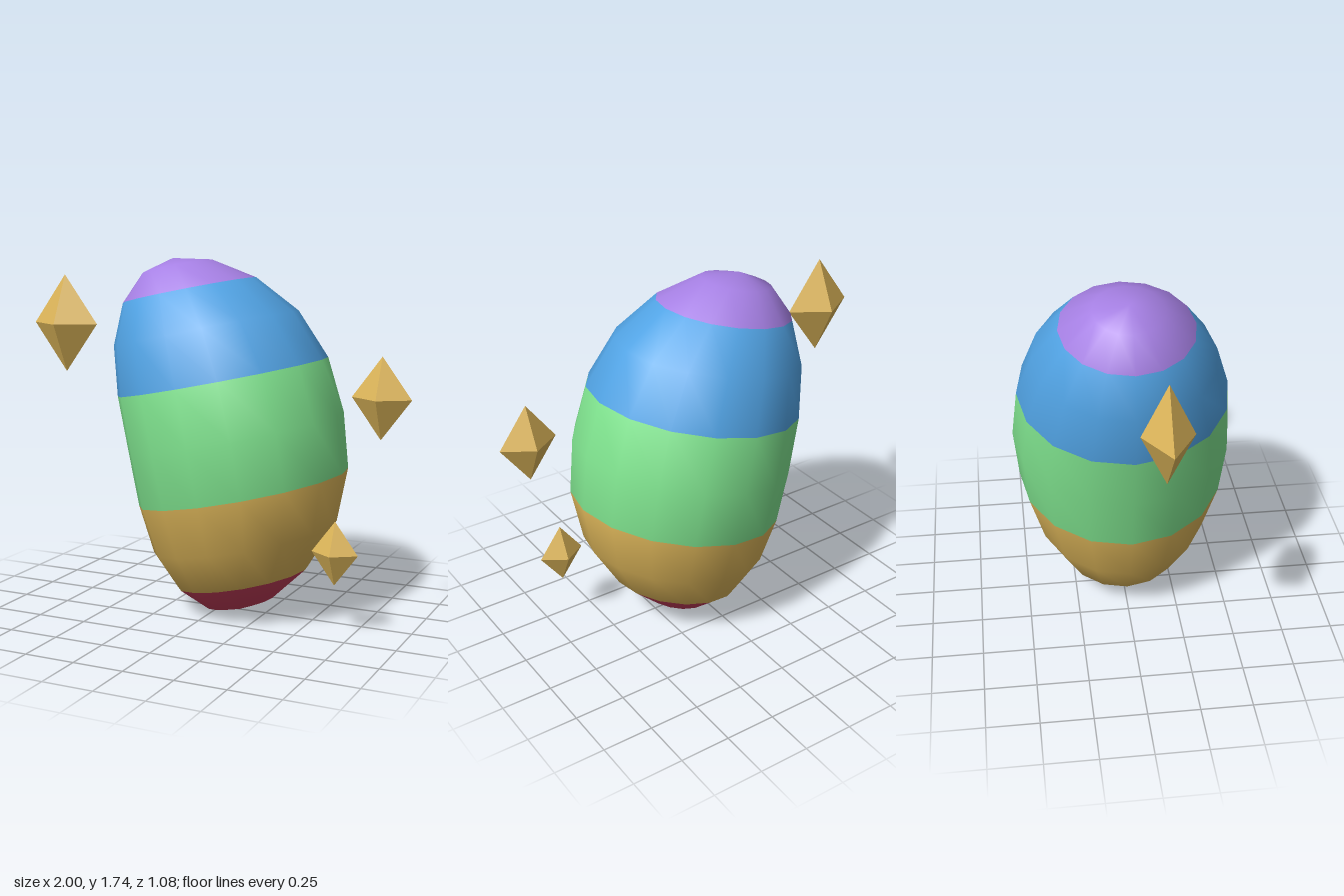
import * as THREE from 'three';
import { mergeVertices } from 'three/addons/utils/BufferGeometryUtils.js';

const mat = (name, color) => {
  const m = new THREE.MeshStandardMaterial({ color });
  m.name = name;
  return m;
};

export function createModel() {
  const group = new THREE.Group();
  const gold = mat('gold', 0xdcb559);
  const bands = [
    mat('purple', 0xa680e4), mat('blue', 0x51a3e4), mat('green', 0x80e48f),
    gold, mat('red', 0xc03b57),
  ];

  // Egg body: a sphere whose rings are stretched, slanted and bent sideways
  const SIDES = 16, RINGS = 10, RADIUS = 0.54, HALF = 0.91;
  const widen = [1, 1.03, 1.04, 1.045, 1.005, 0.975]; // sideways stretch, pole to equator
  let egg = new THREE.SphereGeometry(1, SIDES, RINGS);
  const p = egg.attributes.position;
  for (let i = 0; i < p.count; i++) {
    const ring = Math.round(Math.acos(THREE.MathUtils.clamp(p.getY(i), -1, 1)) / Math.PI * RINGS);
    const u = p.getY(i) * HALF;
    const x = p.getX(i) * RADIUS * widen[Math.min(ring, RINGS - ring)]
      + 0.083 - 0.2 * u - 0.19 * u * u;
    p.setXYZ(i, x, 0.895 + u + 0.21 * x, p.getZ(i) * RADIUS);
  }
  // Weld the seam and poles for smooth normals
  egg.deleteAttribute('uv');
  egg.deleteAttribute('normal');
  egg = mergeVertices(egg, 1e-4);
  egg.computeVertexNormals();

  // Five colour bands, two rows of faces each
  egg.clearGroups();
  const cap = SIDES * 9, belt = SIDES * 12;
  let start = 0;
  [cap, belt, belt, belt, cap].forEach((count, i) => {
    egg.addGroup(start, count, i);
    start += count;
  });
  const body = new THREE.Mesh(egg, bands);
  body.name = 'bandedEgg';
  group.add(body);

  // Floating crystals: x, y, z, half height
  [[-0.82, 1.42, 0.095, 0.245], [0.855, 1.135, 0.095, 0.192], [0.675, 0.41, 0.19, 0.153]]
    .forEach(([x, y, z, h], i) => {
      const geo = new THREE.OctahedronGeometry(1);
      geo.scale(h * 0.742, h, h * 0.48);
      geo.computeVertexNormals();
      const crystal = new THREE.Mesh(geo, gold);
      crystal.position.set(x, y, z);
      crystal.name = `crystal${i + 1}`;
      group.add(crystal);
    });

  return group;
}
